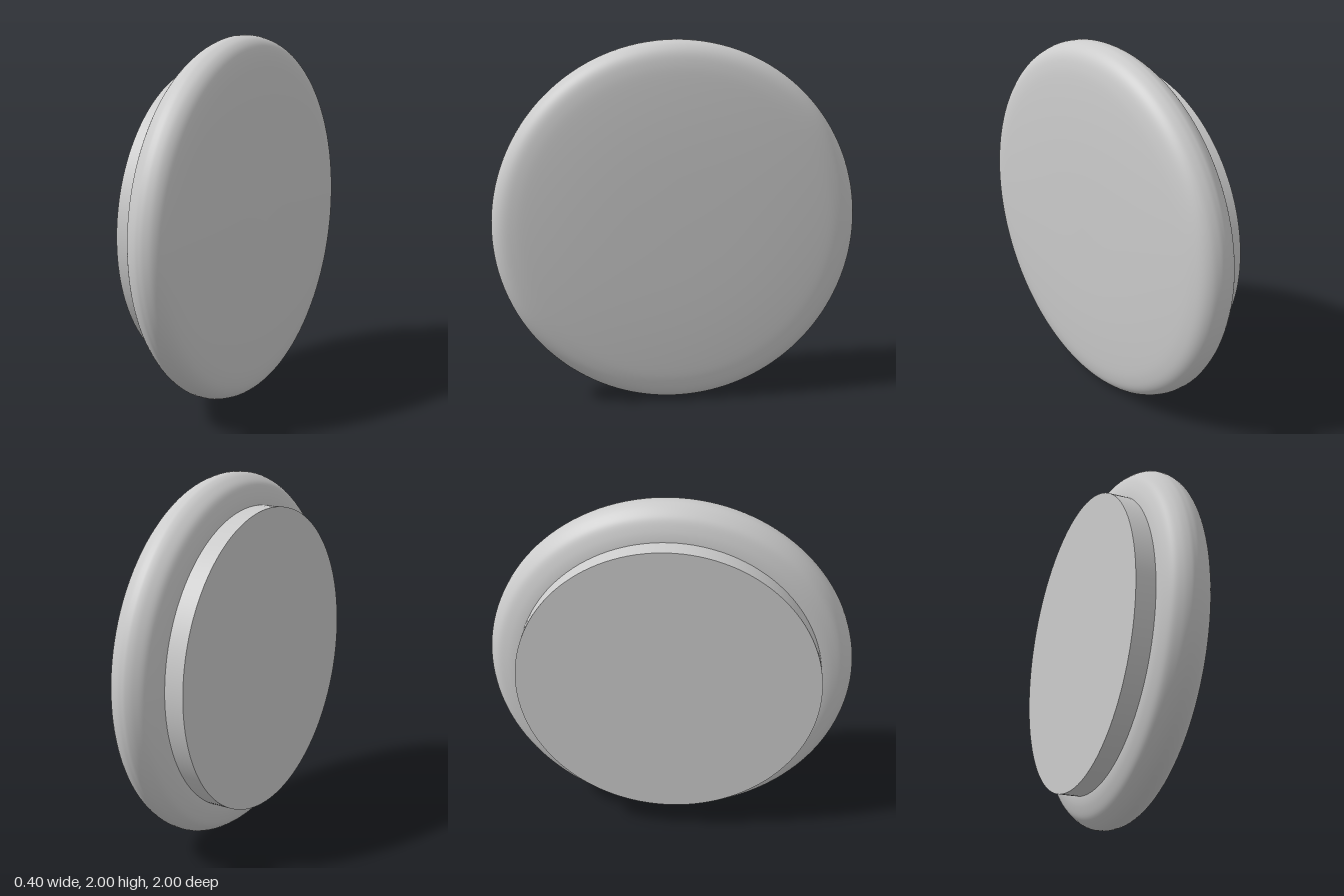
import * as THREE from 'three';

export function createModel() {
  const group = new THREE.Group();
  const material = new THREE.MeshStandardMaterial({ color: 0xcccccc });

  // Adds a round part whose axis (+y) is turned to +x, centred at height 1
  const addRound = (name, geometry, x = 0) => {
    geometry.rotateZ(-Math.PI / 2);
    const mesh = new THREE.Mesh(geometry, material);
    mesh.name = name;
    mesh.position.set(x, 1, 0);
    group.add(mesh);
  };

  // Cushion-edged cap: (radius, axial position), from the back round to the gently domed face
  const profile = new THREE.SplineCurve([
    [0.8, -0.094], [0.84, -0.092], [0.89, -0.08], [0.945, -0.055], [0.98, -0.015],
    [0.997, 0.02], [1, 0.045], [0.997, 0.075], [0.98, 0.115], [0.945, 0.147],
    [0.89, 0.166], [0.8, 0.178], [0.6, 0.19], [0.35, 0.197], [0, 0.2],
  ].map(([r, a]) => new THREE.Vector2(r, a)));
  const points = profile.getPoints(70);
  points.forEach((p) => { p.x = Math.min(Math.max(p.x, 0), 1); });
  addRound('cap', new THREE.LatheGeometry(points, 128));

  // Flat disc set into the back of the cap
  addRound('backDisc', new THREE.CylinderGeometry(0.83, 0.83, 0.15, 128), -0.125);

  return group;
}
